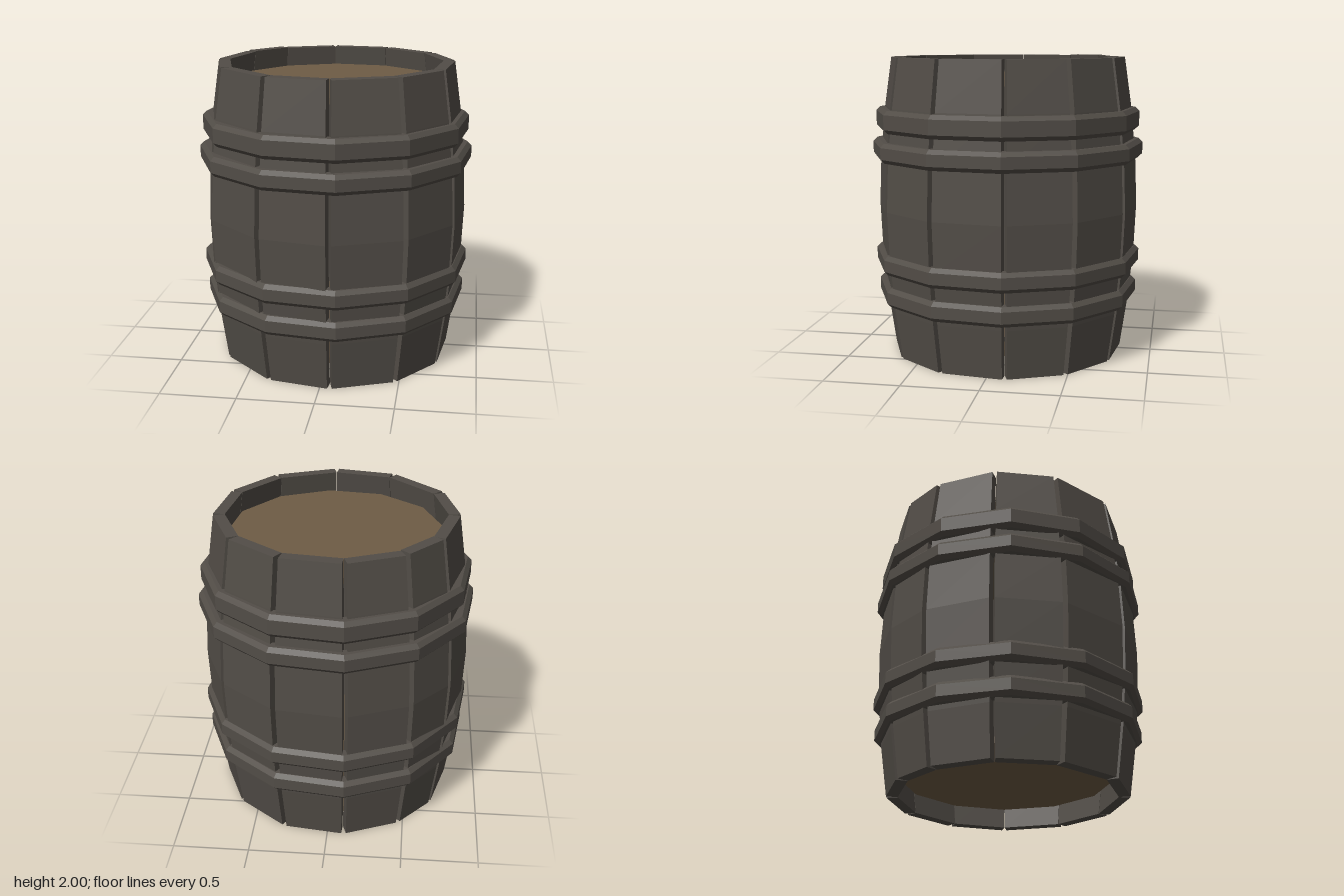
import * as THREE from 'three';

const rad = THREE.MathUtils.degToRad;

// Bulging side of the barrel: [height, outer corner radius]
const bulge = [[0, 0.79], [0.33, 0.838], [0.67, 0.872], [1, 0.886], [1.33, 0.872], [1.67, 0.838], [1.995, 0.79]];
const thickness = 0.075;

// Seam angles around the barrel; the planks are slightly uneven in width
const seams = [-355.3, -323, -293, -261.4, -232, -202, -172, -143.5, -120, -90, -60, -26, 4.7];

function flat(geometry) {
  const g = geometry.index ? geometry.toNonIndexed() : geometry;
  g.computeVertexNormals();
  return g;
}

// One curved plank, swept upwards from four-cornered cross-sections
function staveGeometry(from, to, lift) {
  const gap = 0.02;
  const rings = bulge.map(([y, r], i) => {
    const h = i === bulge.length - 1 ? y + lift : y;
    const corner = (radius, angle) => [radius * Math.sin(angle), h, radius * Math.cos(angle)];
    return [
      corner(r - thickness, from + 0.002), corner(r, from + gap),
      corner(r, to - gap), corner(r - thickness, to - 0.002),
    ];
  });
  const positions = [];
  const quad = (a, b, c, d) => positions.push(...a, ...b, ...c, ...a, ...c, ...d);
  for (let i = 0; i < rings.length - 1; i++) {
    const low = rings[i], high = rings[i + 1];
    for (let j = 0; j < 4; j++) {
      const k = (j + 1) % 4;
      quad(low[j], low[k], high[k], high[j]);
    }
  }
  const top = rings[rings.length - 1], bottom = rings[0];
  quad(top[0], top[1], top[2], top[3]);
  quad(bottom[3], bottom[2], bottom[1], bottom[0]);
  const g = new THREE.BufferGeometry();
  g.setAttribute('position', new THREE.Float32BufferAttribute(positions, 3));
  return flat(g);
}

// Twelve-sided bevelled band
function hoopGeometry(y0, y1, r) {
  const bevel = 0.027, inner = r - 0.085;
  const profile = [
    [inner, y0], [r - bevel, y0], [r, y0 + bevel], [r, y1 - bevel], [r - bevel, y1], [inner, y1], [inner, y0],
  ].map(([x, y]) => new THREE.Vector2(x, y));
  return flat(new THREE.LatheGeometry(profile, 12, rad(7.5)));
}

export function createModel() {
  const barrel = new THREE.Group();
  barrel.name = 'barrel';

  const darkWood = new THREE.MeshStandardMaterial({ color: 0x524d47 });
  darkWood.name = 'dark grey wood';
  const lidWood = new THREE.MeshStandardMaterial({ color: 0x6e5c45 });
  lidWood.name = 'brown wood';

  const add = (name, geometry, material, parent = barrel) => {
    const mesh = new THREE.Mesh(geometry, material);
    mesh.name = name;
    parent.add(mesh);
    return mesh;
  };

  // Staves; one of them stands a touch proud of the rest
  const staves = new THREE.Group();
  staves.name = 'staves';
  barrel.add(staves);
  for (let i = 0; i < 12; i++) {
    add('stave', staveGeometry(rad(seams[i]), rad(seams[i + 1]), i === 7 ? 0.005 : 0), darkWood, staves);
  }

  // Hoops in two pairs
  const hoops = new THREE.Group();
  hoops.name = 'hoops';
  barrel.add(hoops);
  for (const [y0, y1, r] of [[0.36, 0.49, 0.89], [0.58, 0.71, 0.908], [1.32, 1.45, 0.92], [1.51, 1.66, 0.895]]) {
    add('hoop', hoopGeometry(y0, y1, r), darkWood, hoops);
  }

  // Recessed lid and base
  for (const [name, y] of [['lid', 1.85], ['base', 0.15]]) {
    const disc = flat(new THREE.CylinderGeometry(0.706, 0.706, 0.04, 12, 1, false, rad(8)));
    add(name, disc, lidWood).position.set(0.005, y, -0.012);
  }

  return barrel;
}
